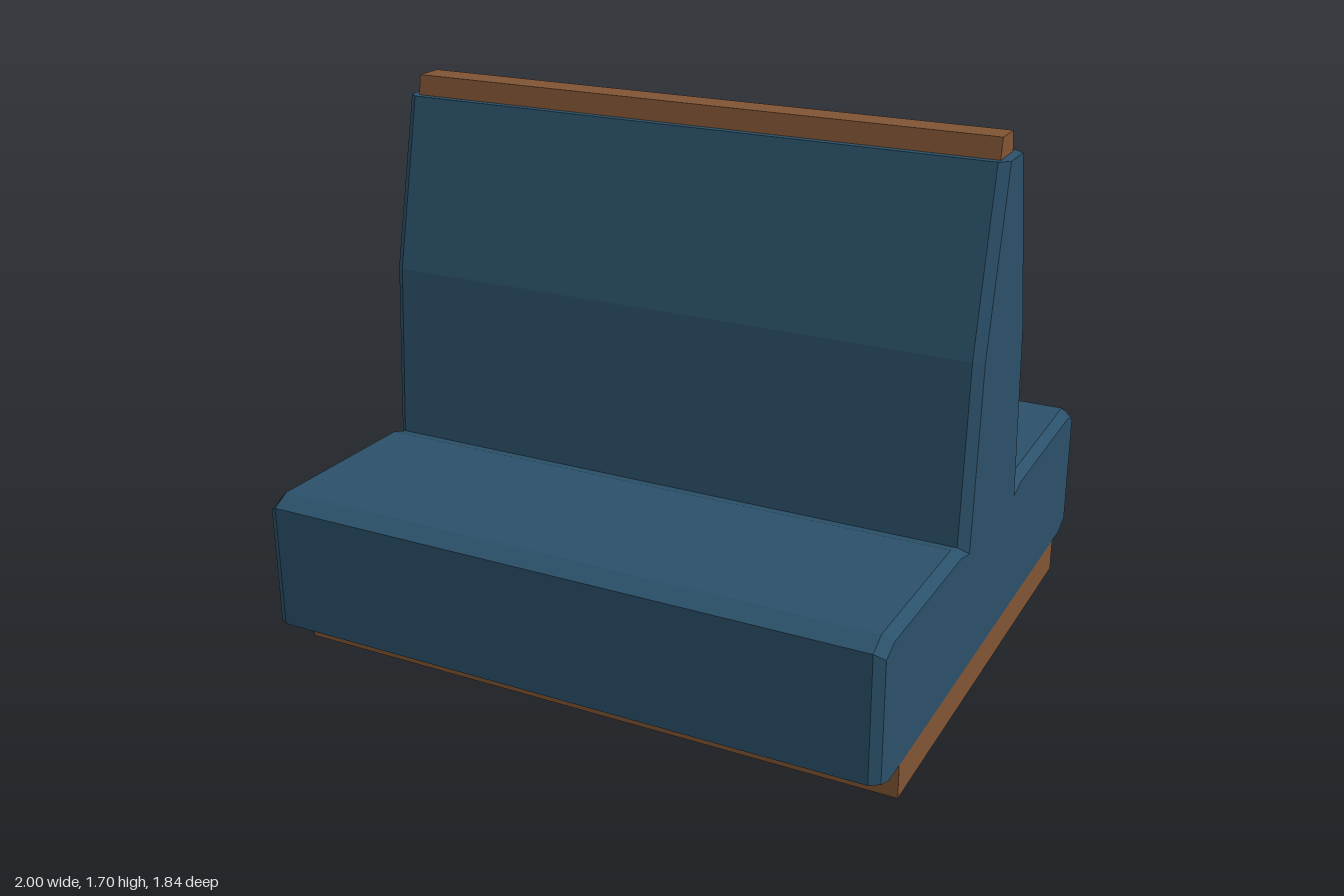
import * as THREE from 'three';

// Skins a list of sections [x, [[z, y], ...]] (counter-clockwise in z, y), closing both ends
function loft(sections) {
  const pos = [];
  const put = ([x, pts], i) => pos.push(x, pts[i][1], pts[i][0]);
  const n = sections[0][1].length;
  for (let s = 0; s < sections.length - 1; s++) {
    const a = sections[s], b = sections[s + 1];
    for (let i = 0; i < n; i++) {
      const j = (i + 1) % n;
      put(a, i); put(b, i); put(b, j);
      put(a, i); put(b, j); put(a, j);
    }
  }
  const cap = (section, flip) => {
    const contour = section[1].map(([z, y]) => new THREE.Vector2(z, y));
    for (const f of THREE.ShapeUtils.triangulateShape(contour, [])) {
      for (const i of flip ? [f[0], f[2], f[1]] : f) put(section, i);
    }
  };
  cap(sections[0], false);
  cap(sections[sections.length - 1], true);
  const g = new THREE.BufferGeometry();
  g.setAttribute('position', new THREE.Float32BufferAttribute(pos, 3));
  g.computeVertexNormals();
  return g;
}

// Completes a half profile (bottom to top) with its mirror image across z = 0
const mirrored = (half) => [...half, ...half.map(([z, y]) => [-z, y]).reverse()];

export function createModel() {
  const group = new THREE.Group();
  const fabric = new THREE.MeshStandardMaterial({ color: 0x2b5069, flatShading: true });
  const wood = new THREE.MeshStandardMaterial({ color: 0x805434, flatShading: true });
  const add = (name, geometry, material) => {
    const mesh = new THREE.Mesh(geometry, material);
    mesh.name = name;
    group.add(mesh);
    return mesh;
  };

  // Back-to-back seats with a shared tapered backrest, chamfered at both ends
  const full = mirrored([
    [0.865, 0.105], [0.922, 0.132], [0.922, 0.53], [0.865, 0.56],
    [0.31, 0.55], [0.248, 0.53], [0.208, 1.09], [0.082, 1.637],
  ]);
  const inset = mirrored([
    [0.84, 0.107], [0.903, 0.132], [0.903, 0.51], [0.845, 0.535],
    [0.3, 0.525], [0.222, 0.505], [0.183, 1.09], [0.056, 1.637],
  ]);
  add('upholsteredSeats', loft([[-1, inset], [-0.97, full], [0.97, full], [1, inset]]), fabric);

  // Plinth under the seats
  add('basePlinth', new THREE.BoxGeometry(2, 0.108, 1.52), wood).position.y = 0.054;

  // Tapered rail along the top of the backrest
  const rail = mirrored([[0.06, 1.63], [0.047, 1.7]]);
  add('topRail', loft([[-0.97, rail], [0.97, rail]]), wood);

  return group;
}
